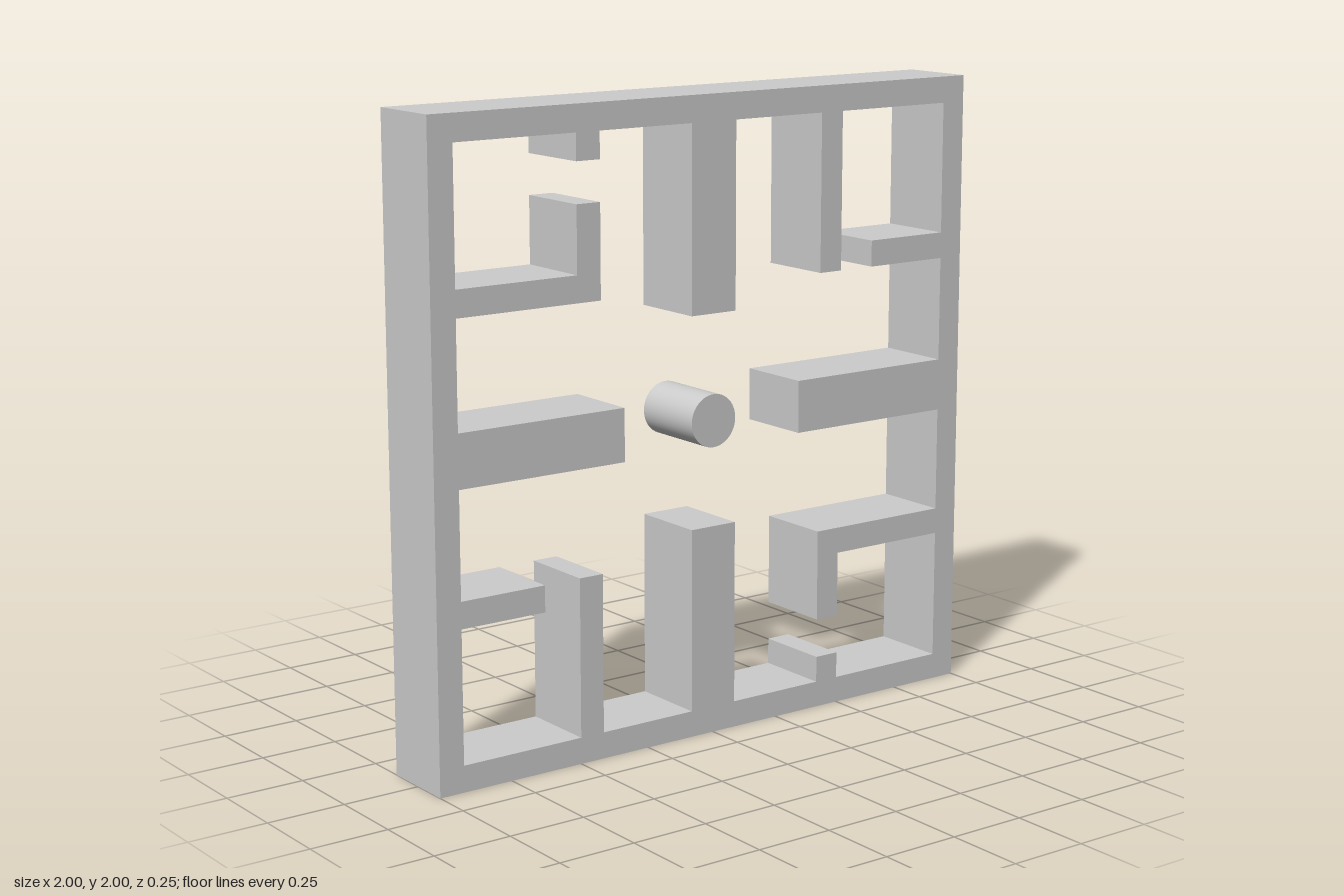
import * as THREE from 'three';

const UNIT = 1 / 12; // wall thickness, the module of the whole plan
const DEPTH = 3 * UNIT;

// Half of the inner outline in wall thicknesses, from the right bar over the top to the left bar.
const HALF_OUTLINE = [
  [4, -1], [4, 1], [11, 1],                       // right bar
  [11, 5], [7.5, 5], [7.5, 6], [11, 6],           // short side wall
  [11, 11], [6, 11], [6, 5], [5, 5], [5, 11],     // long hanging wall
  [1, 11], [1, 4], [-1, 4], [-1, 11],             // top bar
  [-5, 11], [-5, 10], [-6, 10], [-6, 11],         // stub
  [-11, 11], [-11, 6], [-6, 6], [-6, 8.5], [-5, 8.5], [-5, 5], [-11, 5], // L-shaped wall
  [-11, 1],
];

function createWalls(material) {
  const square = [[-12, -12], [12, -12], [12, 12], [-12, 12]];
  const toPoints = (list, sign = 1) =>
    list.map(([x, y]) => new THREE.Vector2(x, y).multiplyScalar(sign * UNIT));

  // The lower half is the upper half turned by 180 degrees.
  const shape = new THREE.Shape(toPoints(square));
  shape.holes.push(new THREE.Path([...toPoints(HALF_OUTLINE), ...toPoints(HALF_OUTLINE, -1)]));

  const geometry = new THREE.ExtrudeGeometry(shape, { depth: DEPTH, bevelEnabled: false });
  geometry.translate(0, 1, -DEPTH / 2);
  const walls = new THREE.Mesh(geometry, material);
  walls.name = 'frameAndWalls';
  return walls;
}

function createPost(material) {
  const geometry = new THREE.CylinderGeometry(UNIT, UNIT, DEPTH, 48);
  geometry.rotateX(Math.PI / 2);
  const post = new THREE.Mesh(geometry, material);
  post.name = 'centrePost';
  post.position.y = 1;
  return post;
}

export function createModel() {
  const material = new THREE.MeshStandardMaterial({ color: 0xcccccc });
  const model = new THREE.Group();
  model.name = 'mazePanel';
  model.add(createWalls(material), createPost(material));
  return model;
}
